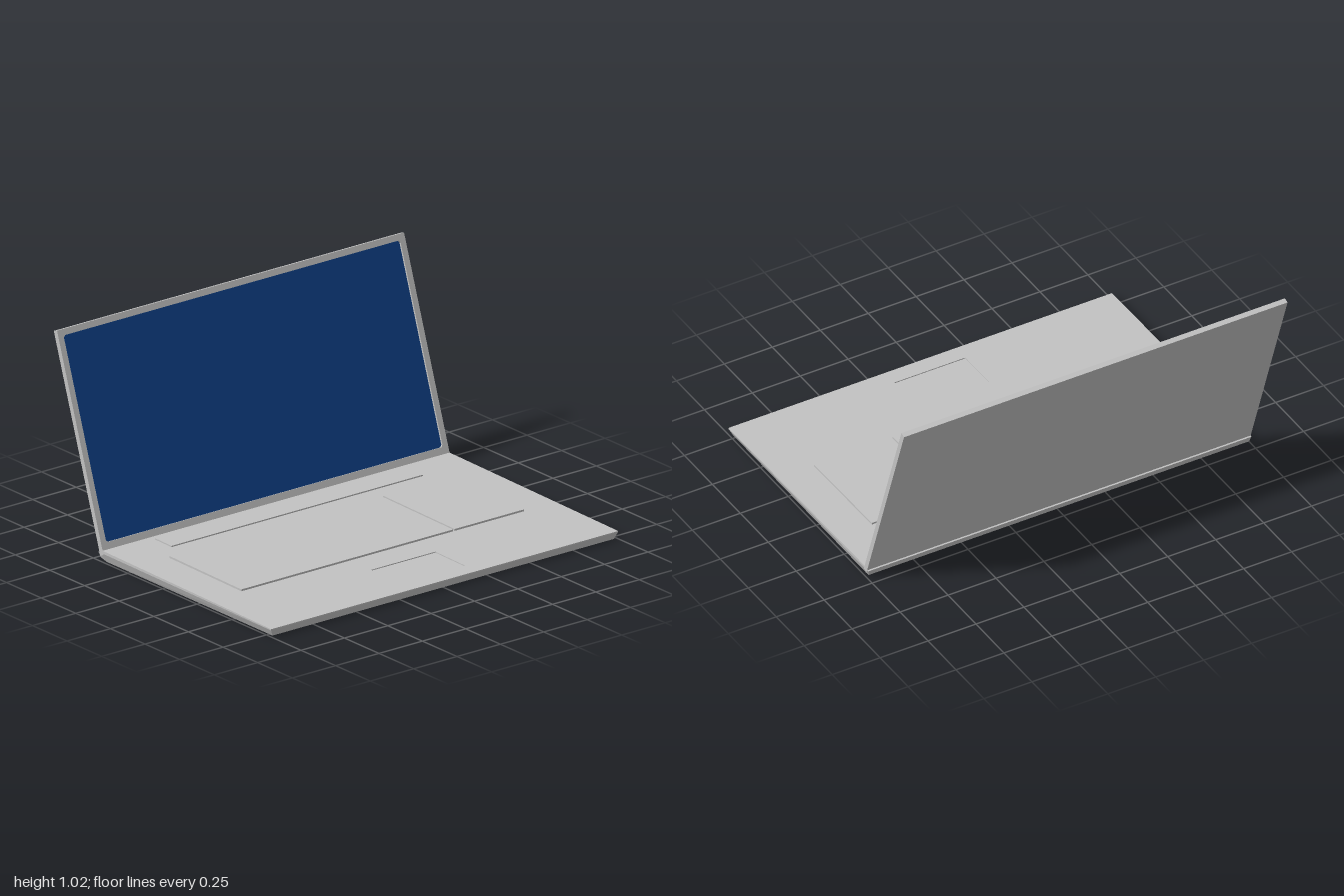
import * as THREE from 'three';

const silver = new THREE.MeshStandardMaterial({ color: 0xc2c2c2 });
silver.name = 'silver casing';
const blue = new THREE.MeshStandardMaterial({ color: 0x0d3f86 });
blue.name = 'screen blue';

function mesh(name, geometry, material, parent) {
  const m = new THREE.Mesh(geometry, material);
  m.name = name;
  parent.add(m);
  return m;
}

// Rectangle outline with optionally clipped corners
function rect(x0, y0, x1, y1, c = 0, Type = THREE.Shape) {
  const p = c
    ? [[x0 + c, y0], [x1 - c, y0], [x1, y0 + c], [x1, y1 - c], [x1 - c, y1], [x0 + c, y1], [x0, y1 - c], [x0, y0 + c]]
    : [[x0, y0], [x1, y0], [x1, y1], [x0, y1]];
  return new Type(p.map(([x, y]) => new THREE.Vector2(x, y)));
}

const extrude = (shape, depth) => new THREE.ExtrudeGeometry(shape, { depth, bevelEnabled: false });

export function createModel() {
  const model = new THREE.Group();
  model.name = 'laptop';

  // Lower case: side profile [z, y] swept across x, narrowing towards the bottom
  const profile = [[0.774, 0], [0.783, 0.0317], [-0.435, 0.0485], [-0.463, 0.041], [-0.456, 0.014], [-0.42, 0]];
  const caseGeo = extrude(new THREE.Shape(profile.map(([z, y]) => new THREE.Vector2(-z, y))), 2);
  caseGeo.rotateY(Math.PI / 2).translate(-1, 0, 0);
  const pos = caseGeo.attributes.position;
  for (let i = 0; i < pos.count; i++) {
    pos.setX(i, pos.getX(i) * (1 - 0.016 * Math.max(0, 1 - pos.getY(i) / 0.032)));
  }
  caseGeo.computeVertexNormals();
  mesh('lowerCase', caseGeo, silver, model);

  // Sloping deck with a sunken touchpad
  const deck = new THREE.Group();
  deck.name = 'deck';
  deck.position.y = 0.0485;
  deck.rotation.x = 0.0138;
  model.add(deck);
  const top = rect(-1, -0.785, 1, 0.435);
  top.holes.push(rect(-0.185, -0.7, 0.185, -0.485, 0, THREE.Path));
  mesh('deckPlate', extrude(top, 0.006).rotateX(-Math.PI / 2).translate(0, -0.006, 0), silver, deck);
  const pad = mesh('touchpad', new THREE.BoxGeometry(0.37, 0.002, 0.215), silver, deck);
  pad.position.set(0, -0.0053, 0.5925);

  // Raised panels: name, x from, x to, z from, z to
  for (const [name, x0, x1, z0, z1] of [
    ['keyboard', -0.815, 0.405, -0.18, 0.337],
    ['numberPad', 0.415, 0.815, -0.18, 0.337],
    ['controlStrip', -0.725, 0.725, -0.4, -0.28],
  ]) {
    const panel = mesh(name, new THREE.BoxGeometry(x1 - x0, 0.01, z1 - z0), silver, deck);
    panel.position.set((x0 + x1) / 2, name === 'controlStrip' ? 0.001 : 0.004, (z0 + z1) / 2);
  }

  // Lid leaning back, with the screen set into its frame
  const lid = new THREE.Group();
  lid.name = 'lid';
  lid.position.set(0, 0.04, -0.428);
  lid.rotation.x = -0.329;
  model.add(lid);
  const frame = rect(-1, -0.005, 1, 1.033);
  frame.holes.push(rect(-0.97, 0.048, 0.97, 1.004, 0.01, THREE.Path));
  mesh('screenFrame', extrude(frame, 0.01).translate(0, 0, -0.01), silver, lid);
  mesh('lidBack', extrude(rect(-1, -0.005, 1, 1.033), 0.015).translate(0, 0, -0.025), silver, lid);
  mesh('screen', new THREE.ShapeGeometry(rect(-0.97, 0.048, 0.97, 1.004, 0.01)).translate(0, 0, -0.009), blue, lid);

  return model;
}
